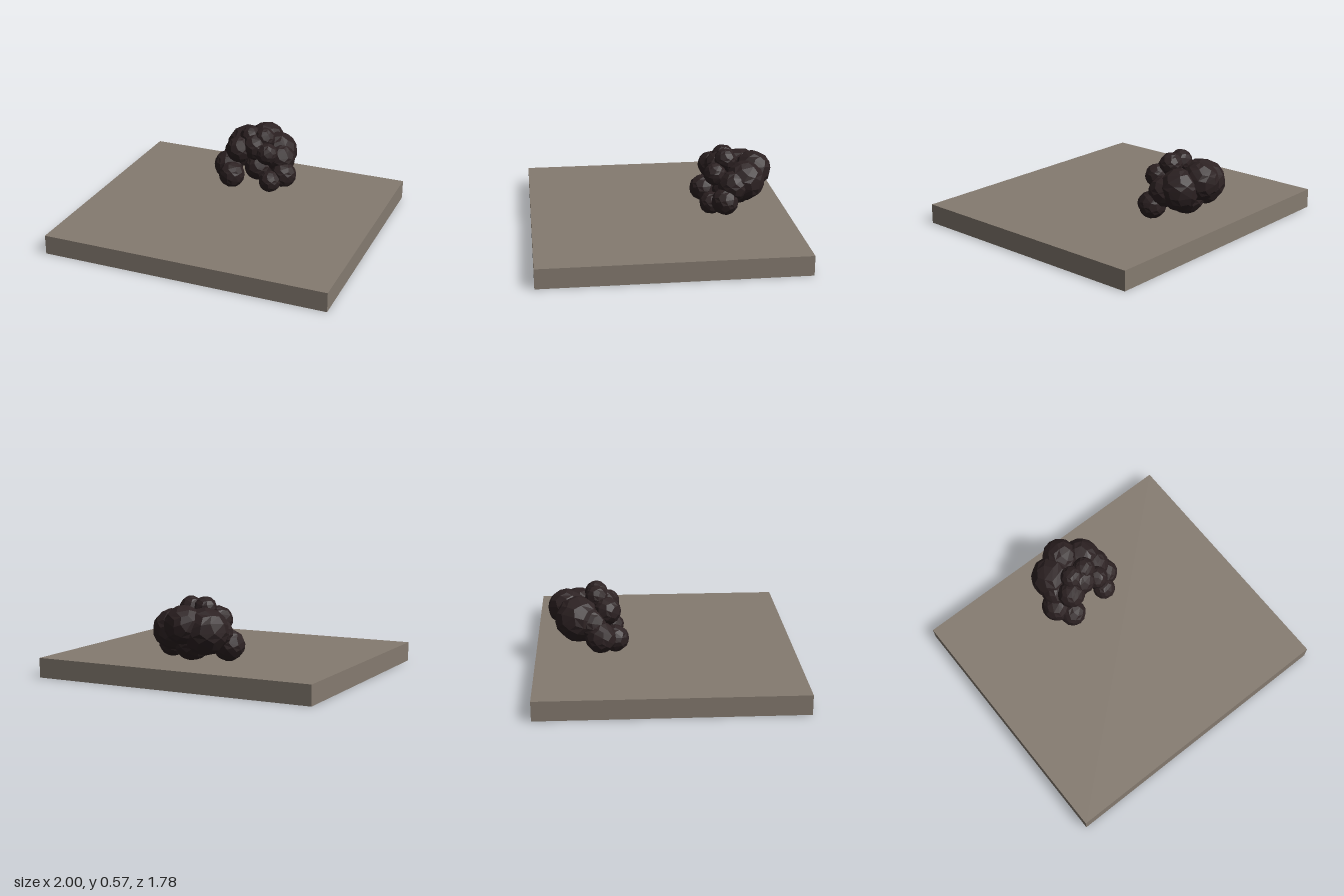
import * as THREE from 'three';

const stone = new THREE.MeshStandardMaterial({ color: 0x857b70, flatShading: true });
stone.name = 'stone';
const fur = new THREE.MeshStandardMaterial({ color: 0x2c2122, flatShading: true });
fur.name = 'dark fur';

// Faceted ball, the building block of the crouching figure
function ball(name, radius, x, y, z, turn = 0) {
  const mesh = new THREE.Mesh(new THREE.DodecahedronGeometry(radius, 1), fur);
  mesh.name = name;
  mesh.position.set(x, y, z);
  mesh.rotation.set(turn, turn * 0.7, 0);
  return mesh;
}

export function createModel() {
  const model = new THREE.Group();
  model.name = 'figureOnSlab';

  // Square floor slab
  const slab = new THREE.Mesh(new THREE.BoxGeometry(2, 0.135, 1.78), stone);
  slab.name = 'slab';
  slab.position.y = 0.0675;
  model.add(slab);

  // Body: hump, shoulders, belly and chest
  const body = new THREE.Group();
  body.name = 'body';
  body.add(
    ball('backHump', 0.13, 0, 0.4, -0.675),
    ball('rightShoulder', 0.158, -0.12, 0.355, -0.6, 0.4),
    ball('leftShoulder', 0.14, 0.12, 0.355, -0.595, 0.8),
    ball('belly', 0.13, 0, 0.28, -0.56, 0.3),
    ball('chest', 0.1, 0, 0.25, -0.49, 0.6)
  );

  // Limbs: upper arm, elbow and paw on each side, slightly uneven
  const limbs = new THREE.Group();
  limbs.name = 'limbs';
  limbs.add(
    ball('rightUpperArm', 0.11, -0.16, 0.33, -0.51, 0.2),
    ball('leftUpperArm', 0.108, 0.17, 0.335, -0.51, 0.5),
    ball('rightElbow', 0.108, -0.213, 0.25, -0.445, 0.7),
    ball('leftElbow', 0.095, 0.215, 0.24, -0.445, 0.1),
    ball('rightPaw', 0.095, -0.15, 0.22, -0.345),
    ball('leftPaw', 0.08, 0.143, 0.21, -0.357, 0.3)
  );

  // Head: skull, cheeks and crown bumps
  const head = new THREE.Group();
  head.name = 'head';
  head.add(
    ball('skull', 0.1, 0, 0.43, -0.43, 0.2),
    ball('rightCheek', 0.098, -0.11, 0.405, -0.4, 0.5),
    ball('leftCheek', 0.08, 0.105, 0.405, -0.39, 0.9),
    ball('rightCrown', 0.08, -0.05, 0.488, -0.47, 0.3),
    ball('leftCrown', 0.08, 0.055, 0.488, -0.47, 0.6)
  );

  model.add(body, limbs, head);
  return model;
}
